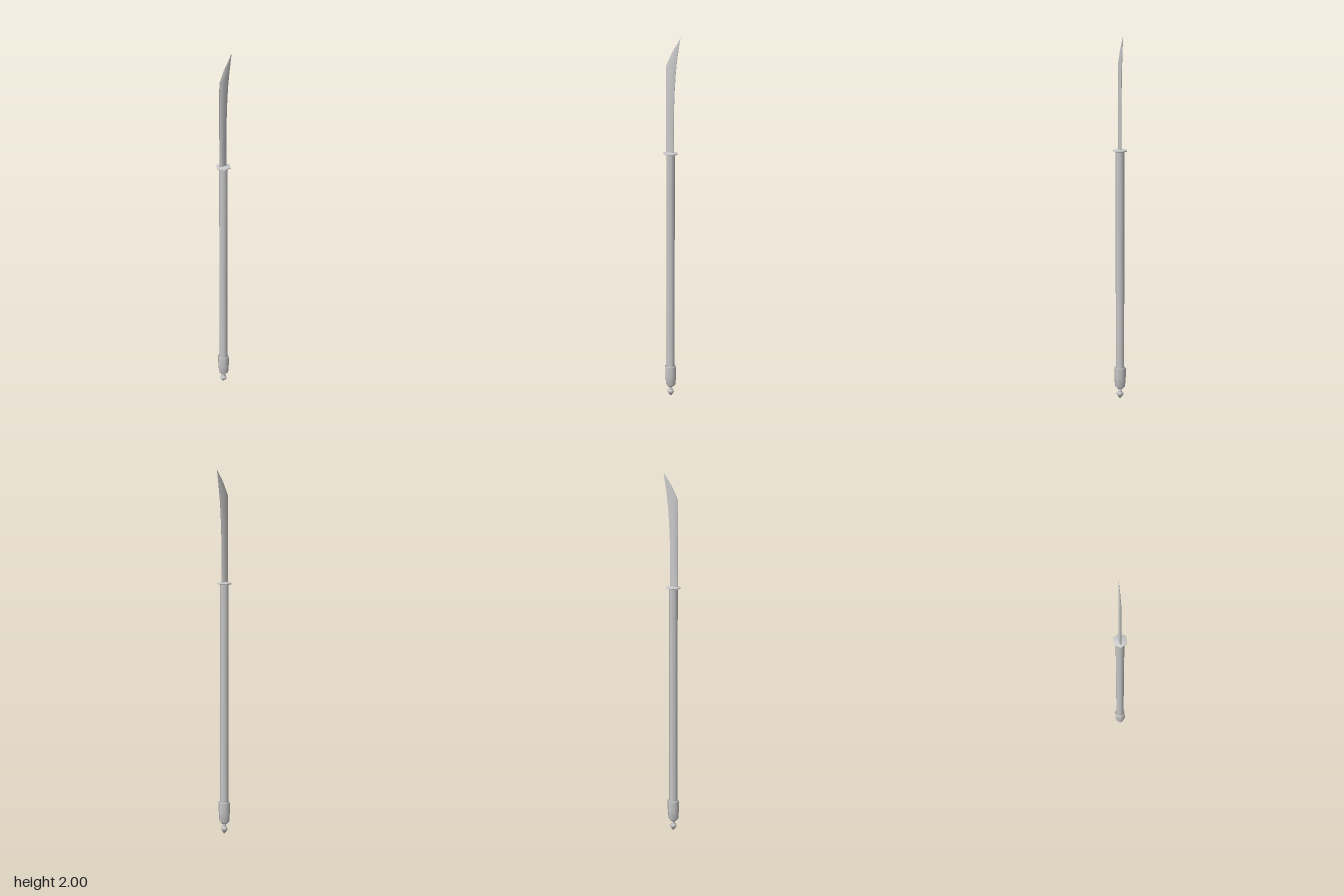
import * as THREE from 'three';

const AXIS_Z = 0.0065; // the pole sits slightly in front of the centre

function material() {
  return new THREE.MeshStandardMaterial({ color: 0xcccccc, side: THREE.DoubleSide });
}

// Six-sided turned part with softly shaded corners; profile is [radius, y] from bottom to top
function turned(name, profile) {
  const points = profile.map(([r, y]) => new THREE.Vector2(r, y));
  const mesh = new THREE.Mesh(new THREE.LatheGeometry(points, 6), material());
  mesh.name = name;
  mesh.position.z = AXIS_Z;
  return mesh;
}

// Blade lofted from six-sided cross-sections; each corner is [depth 0 front..1 back, half-width share]
function blade() {
  const corners = [[0, 0.7], [0.5, 1], [1, 0.45], [1, -0.45], [0.5, -1], [0, -0.7]];
  // front z, front y, back z, back y, half width
  const sections = [
    [0.030, 1.40, -0.012, 1.40, 0.0068],
    [0.030, 1.50, -0.011, 1.52, 0.0068],
    [0.030, 1.60, -0.012, 1.64, 0.0066],
    [0.030, 1.70, -0.016, 1.74, 0.0062],
    [0.030, 1.79, -0.022, 1.83, 0.0056],
    [0.030, 1.86, -0.029, 1.89, 0.0046],
    [0.001, 1.925, -0.038, 1.95, 0.003],
    [-0.0455, 1.998, -0.0465, 2.0, 0.0003],
  ];
  const positions = [];
  const index = [];
  const n = corners.length;
  sections.forEach(([fz, fy, bz, by, w], s) => {
    for (const [t, side] of corners) {
      positions.push(side * w, fy + (by - fy) * t, fz + (bz - fz) * t);
    }
    if (s === 0) return;
    for (let i = 0; i < n; i++) {
      const a = (s - 1) * n + i;
      const b = (s - 1) * n + (i + 1) % n;
      index.push(a, a + n, b, b, a + n, b + n);
    }
  });
  // close the tip
  const last = (sections.length - 1) * n;
  for (let i = 1; i < n - 1; i++) index.push(last, last + i + 1, last + i);

  // wind every face outwards, as seen going round from the front-left corner
  for (let i = 0; i < index.length; i += 3) {
    if (i < (sections.length - 1) * n * 6) [index[i + 1], index[i + 2]] = [index[i + 2], index[i + 1]];
  }
  for (let i = (sections.length - 1) * n * 6; i < index.length; i += 3) {
    [index[i + 1], index[i + 2]] = [index[i + 2], index[i + 1]];
  }
  for (let i = 0; i < index.length; i += 3) {
    [index[i + 1], index[i + 2]] = [index[i + 2], index[i + 1]];
  }
  const geometry = new THREE.BufferGeometry();
  geometry.setAttribute('position', new THREE.Float32BufferAttribute(positions, 3));
  geometry.setIndex(index);
  geometry.computeVertexNormals();
  const mesh = new THREE.Mesh(geometry, material());
  mesh.name = 'blade';
  return mesh;
}

export function createModel() {
  const group = new THREE.Group();
  group.name = 'glaive';
  group.add(
    // pointed knob under the pole
    turned('finial', [[0, 0], [0.011, 0.011], [0.020, 0.026], [0.018, 0.034], [0.009, 0.042], [0.009, 0.064]]),
    // thick sleeve at the foot of the pole
    turned('buttCap', [[0, 0.06], [0.018, 0.06], [0.029, 0.073], [0.033, 0.13], [0.033, 0.183]]),
    // pole, flowing into the sleeve's shoulder and the guard's underside
    turned('shaft', [[0.033, 0.183], [0.024, 0.184], [0.024, 1.394], [0.039, 1.398]]),
    turned('guard', [[0.039, 1.398], [0.039, 1.406], [0, 1.409]]),
    blade(),
  );
  return group;
}
